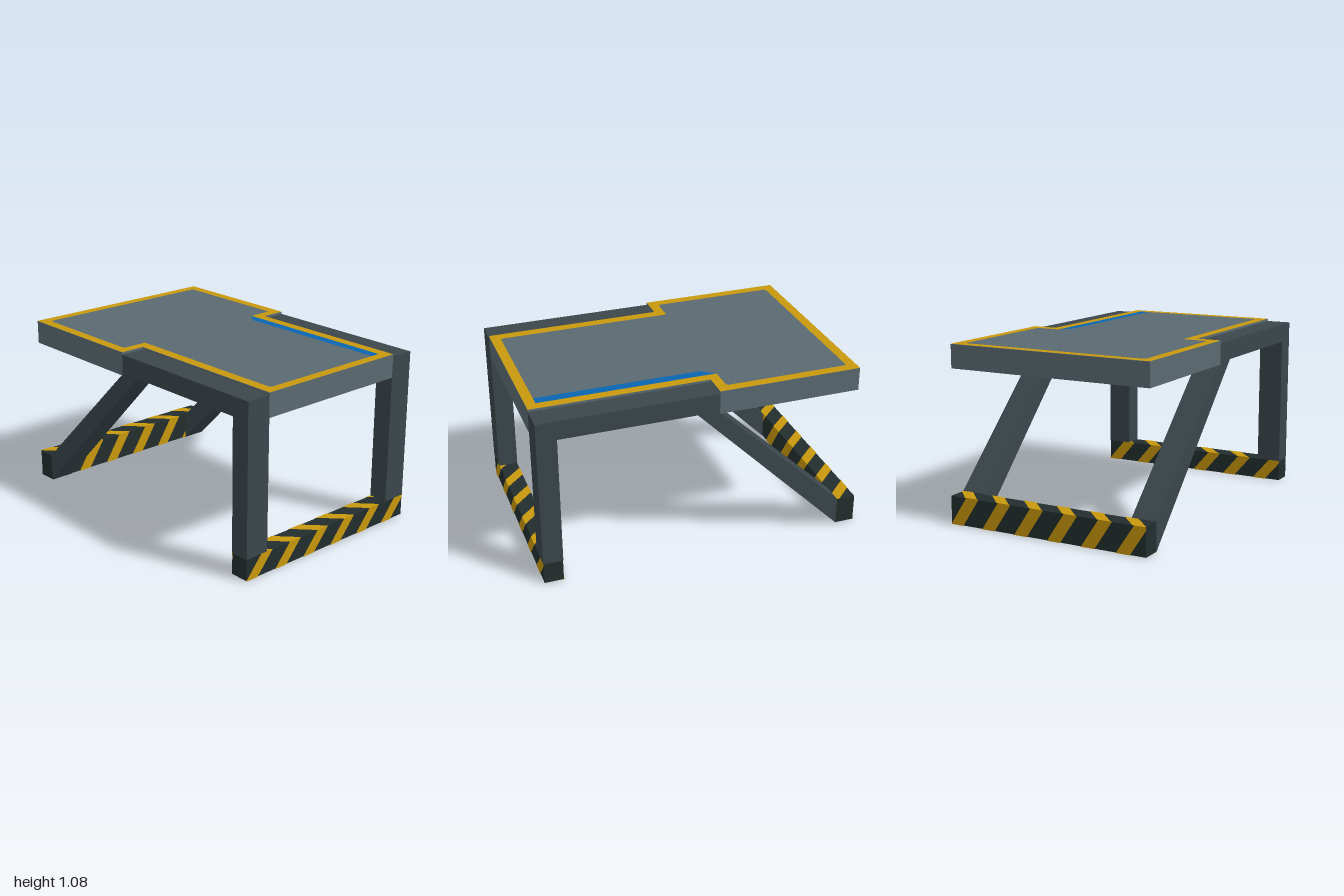
import * as THREE from 'three';

const mat = (name, color, side = THREE.FrontSide) => {
  const m = new THREE.MeshStandardMaterial({ color, side });
  m.name = name;
  return m;
};

const polygon = (pts) => new THREE.Shape(pts.map(([x, y]) => new THREE.Vector2(x, y)));

// Keeps the part of a [z, t] polygon with sign * z <= limit
function clip(poly, sign, limit) {
  const out = [];
  poly.forEach((a, i) => {
    const b = poly[(i + 1) % poly.length];
    const da = limit - sign * a[0], db = limit - sign * b[0];
    if (da >= 0) out.push(a);
    if (da * db < 0) {
      const k = da / (da - db);
      out.push([a[0] + (b[0] - a[0]) * k, a[1] + (b[1] - a[1]) * k]);
    }
  });
  return out;
}

const HALF = 0.655;   // half width of the whole stand
const INNER = 0.5;    // half width between the side frames

// Slanted warning stripes on the four long faces of a foot bar
function stripeGeometry(x0, x1, h) {
  const faces = [
    // direction of z, start corner [x, y], end corner [x, y]
    [-1, [x1, 0], [x1, h]],
    [1, [x0, 0], [x0, h]],
    [-1, [x0, h], [x1, h]],
    [-1, [x1, 0], [x0, 0]],
  ];
  const pos = [];
  for (const [s, a, b] of faces) {
    for (let k = -4; k <= 4; k++) {
      const low = -0.165 + 0.225 * k, high = low + 0.115, w = 0.044;
      let poly = [[low - w, 0], [low + w, 0], [high + w, 1], [high - w, 1]];
      poly = clip(clip(poly, 1, HALF), -1, HALF);
      const p = poly.map(([u, t]) => [a[0] + (b[0] - a[0]) * t, a[1] + (b[1] - a[1]) * t, s * u]);
      for (let i = 1; i < p.length - 1; i++) pos.push(...p[0], ...p[i], ...p[i + 1]);
    }
  }
  const g = new THREE.BufferGeometry();
  g.setAttribute('position', new THREE.Float32BufferAttribute(pos, 3));
  g.computeVertexNormals();
  return g;
}

// T-shaped plan; the wide end is at -x
const plan = (x0, xStep, x1, wide, narrow) => [
  [x0, -wide], [xStep, -wide], [xStep, -narrow], [x1, -narrow],
  [x1, narrow], [xStep, narrow], [xStep, wide], [x0, wide],
];

export function createModel() {
  const model = new THREE.Group();
  model.name = 'platform';

  const deckGrey = mat('deck grey', 0x5a6a71);
  const frameGrey = mat('frame grey', 0x3b464b);
  const footBlack = mat('foot black', 0x232d2d);
  const warningYellow = mat('warning yellow', 0xc8980c, THREE.DoubleSide);
  const markBlue = mat('mark blue', 0x0a66b0, THREE.DoubleSide);

  const add = (name, geometry, material, parent = model) => {
    const m = new THREE.Mesh(geometry, material);
    m.name = name;
    parent.add(m);
    return m;
  };
  const flat = (shape, y) => new THREE.ShapeGeometry(shape).rotateX(-Math.PI / 2).translate(0, y, 0);

  // Deck slab
  const outline = plan(-0.96, -0.08, 1, HALF, INNER);
  const slab = new THREE.ExtrudeGeometry(polygon(outline), { depth: 0.143, bevelEnabled: false });
  add('deck', slab.rotateX(-Math.PI / 2).translate(0, 0.93, 0), deckGrey);

  // Yellow border with small corner cuts inside
  const c = 0.012;
  const border = polygon(outline);
  border.holes.push(polygon([
    [-0.9 + c, -0.595], [-0.14 - c, -0.595], [-0.14, -0.595 + c], [-0.14, -0.437],
    [0.94 - c, -0.437], [0.94, -0.437 + c], [0.94, 0.44], [-0.14, 0.44],
    [-0.14, 0.595 - c], [-0.14 - c, 0.595], [-0.9 + c, 0.595], [-0.9, 0.595 - c],
    [-0.9, -0.595 + c],
  ]));
  add('deckBorder', flat(border, 1.075), warningYellow);

  // Blue strip along the back edge
  add('deckStrip', flat(polygon([[-0.06, 0.38], [0.94, 0.38], [0.94, 0.44], [-0.14, 0.44]]), 1.075), markBlue);

  // Side frames: sloping brace, top rail and upright leg in one piece
  const frame = polygon([
    [-0.88, 0], [0.055, 0.945], [0.88, 0.945], [0.88, 0.135], [1, 0.135],
    [1, 1.06], [-0.08, 1.06], [-0.08, 0.94], [-0.88, 0.175],
  ]);
  for (const [name, z] of [['frontFrame', INNER], ['backFrame', -HALF]]) {
    const g = new THREE.ExtrudeGeometry(frame, { depth: HALF - INNER, bevelEnabled: false });
    add(name, g.translate(0, 0, z), frameGrey);
  }

  // Foot bars with warning stripes
  for (const [name, x0, x1, h] of [['leftFoot', 0.88, 1, 0.135], ['rightFoot', -1, -0.88, 0.175]]) {
    const foot = new THREE.Group();
    foot.name = name;
    model.add(foot);
    const e = 0.002;
    const bar = new THREE.BoxGeometry(x1 - x0 - 2 * e, h - 2 * e, 2 * HALF);
    add('footBar', bar.translate((x0 + x1) / 2, h / 2, 0), footBlack, foot);
    add('footStripes', stripeGeometry(x0, x1, h), warningYellow, foot);
  }

  return model;
}
